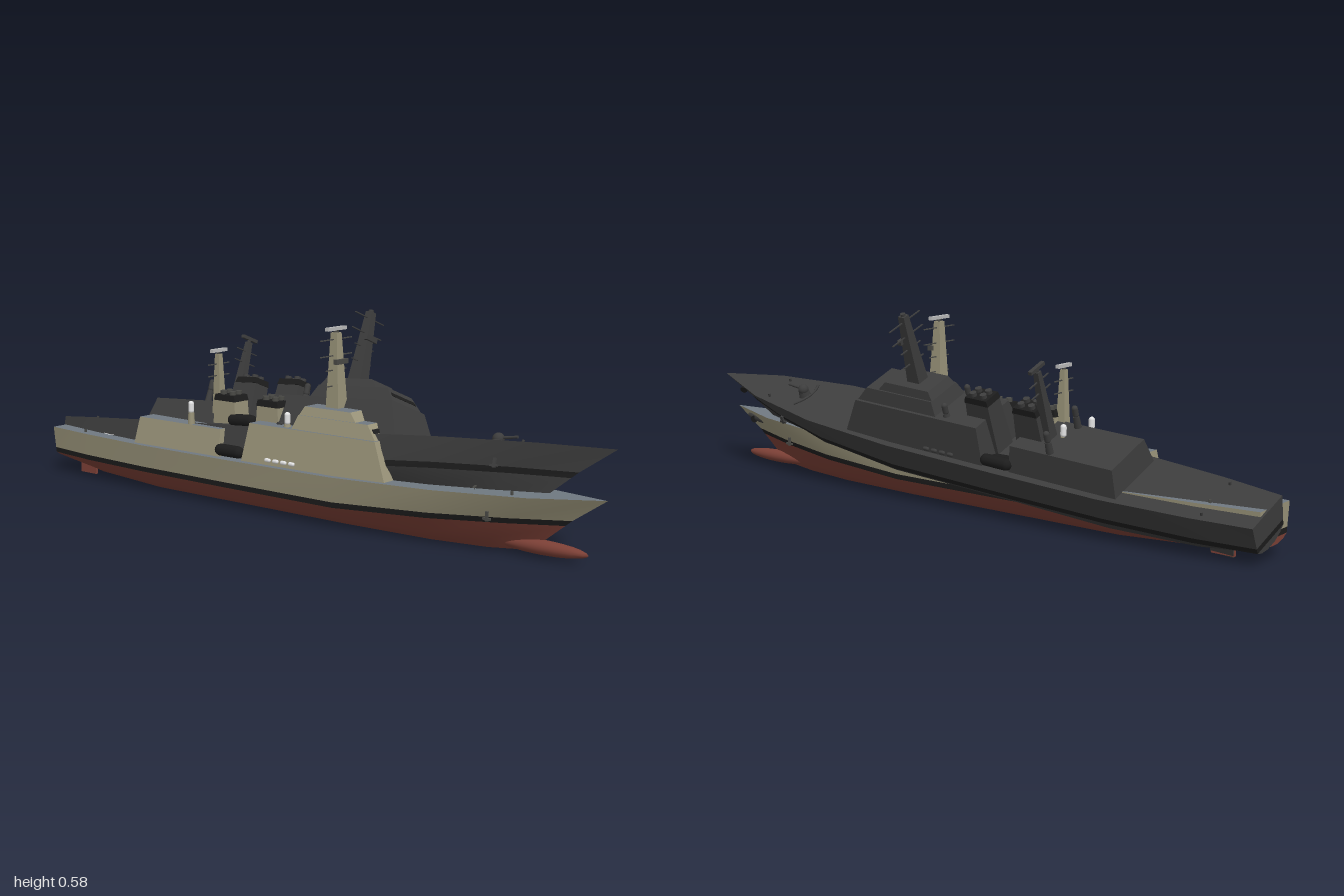
import * as THREE from 'three';

const paint = (name, hex) => {
  const m = new THREE.MeshStandardMaterial({ color: hex });
  m.name = name;
  return m;
};

function add(parent, name, geometry, material, x = 0, y = 0, z = 0) {
  const mesh = new THREE.Mesh(geometry, material);
  mesh.name = name;
  mesh.position.set(x, y, z);
  parent.add(mesh);
  return mesh;
}

// Surface through rows of points; every row has the same number of points
function loft(rows, flip = false) {
  const n = rows[0].length, index = [];
  for (let i = 0; i < rows.length - 1; i++) {
    for (let j = 0; j < n - 1; j++) {
      const a = i * n + j, b = a + 1, d = a + n, c = d + 1;
      index.push(...(flip ? [a, c, b, a, d, c] : [a, b, c, a, c, d]));
    }
  }
  const g = new THREE.BufferGeometry();
  g.setAttribute('position', new THREE.Float32BufferAttribute(rows.flat(2), 3));
  g.setIndex(index);
  g.computeVertexNormals();
  return g;
}

// Box with its own half width, back and front at the bottom and at the top
function frustum(y0, y1, [w0, b0, f0], [w1, b1, f1]) {
  const g = new THREE.BoxGeometry(2, 2, 2), p = g.attributes.position;
  for (let i = 0; i < p.count; i++) {
    const top = p.getY(i) > 0, front = p.getZ(i) > 0;
    p.setXYZ(i, p.getX(i) * (top ? w1 : w0), top ? y1 : y0,
      front ? (top ? f1 : f0) : (top ? b1 : b0));
  }
  g.computeVertexNormals();
  return g;
}

// Stations: z, deck half width, waterline half width, flat half width, keel y, deck y
const STATIONS = [
  [-1, 0.08, 0.07, 0.02, 0.04, 0.145],
  [-0.82, 0.1, 0.093, 0.03, 0.012, 0.145],
  [-0.55, 0.119, 0.108, 0.04, 0, 0.145],
  [-0.2, 0.122, 0.112, 0.04, 0, 0.146],
  [0.2, 0.122, 0.112, 0.04, 0, 0.148],
  [0.53, 0.11, 0.09, 0.028, 0, 0.158],
  [0.8, 0.067, 0.046, 0.012, 0.004, 0.168],
  [1, 0, 0, 0, 0.015, 0.178],
];
const STEM = [0.78, 0.78, 0.82, 0.88, 0.9, 1]; // where each level meets the bow

function section([z, deck, wl, flat, keel, deckY], side) {
  const s = 0.06 + 0.035 * Math.max(0, (z - 0.2) / 0.8);
  const levels = [
    [0, keel], [flat, keel], [flat * 0.4 + wl * 0.6, keel + (s - keel) * 0.4],
    [wl, s], [wl + (deck - wl) * 0.2, s + 0.016], [deck, deckY],
  ];
  return levels.map(([x, y], i) =>
    [x * side, y, z > 0.4 ? 0.4 + (z - 0.4) * (STEM[i] - 0.4) / 0.6 : z]);
}

function makeHull(m) {
  const hull = new THREE.Group();
  hull.name = 'hull';
  const bands = [['underwaterHull', 0, 4, m.bottom], ['waterlineStripe', 3, 5, m.stripe], ['topsides', 4, 6, m.side]];
  for (const [name, from, to, mat] of bands) {
    for (const side of [1, -1]) {
      add(hull, name, loft(STATIONS.map(s => section(s, side).slice(from, to)), side < 0), mat);
    }
    add(hull, name + 'Transom',
      loft([-1, 1].map(side => section(STATIONS[0], side).slice(from, to))), mat);
  }
  add(hull, 'mainDeck', loft(STATIONS.map(s => [section(s, 1)[5], section(s, -1)[5]])), m.deck);

  // Bulb under the bow and twin rudders
  add(hull, 'bowBulb', new THREE.SphereGeometry(1, 16, 12), m.bottom, 0, 0.028, 0.81).scale.set(0.022, 0.02, 0.14);
  for (const x of [-0.04, 0.04]) {
    add(hull, 'rudder', new THREE.BoxGeometry(0.008, 0.035, 0.07), m.bottom, x, 0.02, -0.875);
  }

  // Anchors and hawse plate
  const plate = add(hull, 'hawsePlate', new THREE.CylinderGeometry(0.012, 0.012, 0.006, 8), m.stripe, 0.023, 0.145, 0.905);
  plate.rotation.set(0, 0.35, -Math.PI / 2 - 0.2);
  for (const side of [-1, 1]) {
    add(hull, 'anchorShank', new THREE.BoxGeometry(0.006, 0.026, 0.008), m.fitting, side * 0.075, 0.105, 0.69);
    add(hull, 'anchorFluke', new THREE.BoxGeometry(0.006, 0.006, 0.024), m.fitting, side * 0.075, 0.098, 0.69);
  }
  return hull;
}

function makeMast(m, name, z, base, top, w0, w1, yards, topBar) {
  const mast = new THREE.Group();
  mast.name = name;
  mast.position.z = z;
  add(mast, 'tower', frustum(base, top, [w0, -w0, w0 * 1.2], [w1, -w1, w1]), m.side);
  for (const [y, half] of yards) {
    add(mast, 'yard', new THREE.BoxGeometry(half * 2, 0.003, 0.004), m.fitting, 0, y, 0);
  }
  add(mast, 'mastHead', new THREE.CylinderGeometry(w1 * 0.7, w1 * 0.7, 0.008, 10), m.fitting, 0, top + 0.003, 0);
  if (topBar) add(mast, 'radarBar', new THREE.BoxGeometry(topBar * 2, 0.01, 0.012), m.radar, 0, top + 0.011, 0);
  return mast;
}

function makeShip(name, m, hasRadar) {
  const ship = new THREE.Group();
  ship.name = name;
  ship.add(makeHull(m));

  // Deckhouses: walls with a deck coloured roof
  const roofed = [m.side, m.side, m.deck, m.side, m.side, m.side];
  const house = (n, ...a) => add(ship, n, frustum(...a), roofed);
  house('forwardDeckhouse', 0.14, 0.257, [0.103, -0.15, 0.38], [0.08, -0.135, 0.325]);
  house('bridge', 0.257, 0.297, [0.072, 0.02, 0.32], [0.06, 0.035, 0.285]);
  house('mastDeck', 0.297, 0.322, [0.056, 0.035, 0.24], [0.048, 0.05, 0.215]);
  house('aftDeckhouse', 0.14, 0.225, [0.1, -0.6, -0.24], [0.082, -0.59, -0.25]);
  add(ship, 'bridgeWindows', frustum(0.274, 0.284, [0.058, 0.29, 0.308], [0.056, 0.28, 0.299]), m.stripe);

  // Funnels with dark caps and exhaust pipes
  for (const z of [-0.11, -0.28]) {
    add(ship, 'funnel', frustum(0.14, 0.3, [0.036, z - 0.05, z + 0.05], [0.029, z - 0.04, z + 0.04]), m.side);
    add(ship, 'funnelCap', frustum(0.3, 0.318, [0.031, z - 0.042, z + 0.042], [0.029, z - 0.038, z + 0.038]), m.stripe);
    for (const dx of [-0.013, 0.013]) for (const dz of [-0.018, 0.018]) {
      add(ship, 'exhaustPipe', new THREE.CylinderGeometry(0.01, 0.01, 0.014, 12), m.fitting, dx, 0.322, z + dz);
    }
  }

  // Masts
  ship.add(makeMast(m, 'mainMast', 0.125, 0.32, 0.535, 0.021, 0.011,
    [[0.516, 0.07], [0.47, 0.07], [0.429, 0.045], [0.384, 0.045]], hasRadar ? 0.042 : 0));
  add(ship, 'mastSensor', new THREE.BoxGeometry(0.05, 0.014, 0.014), m.fitting, 0, 0.454, 0.142);
  ship.add(makeMast(m, 'aftMast', -0.33, 0.22, 0.435, 0.016, 0.008,
    [[0.405, 0.045], [0.37, 0.045]], 0.032));

  for (const side of [-1, 1]) {
    // Domes on pedestals
    for (const [x, y, z] of [[0.07, 0.225, -0.38], [0.055, 0.257, -0.01]]) {
      const high = z < -0.1 ? 0.035 : 0.008;
      add(ship, 'domePedestal', new THREE.CylinderGeometry(0.009, 0.011, high, 10), m.side, side * x, y + high / 2, z);
      add(ship, 'dome', new THREE.CapsuleGeometry(0.009, 0.02, 5, 12), m.white, side * x, y + high + 0.016, z);
    }
    // Boats between the deckhouses
    const boat = add(ship, 'boat', new THREE.CapsuleGeometry(0.018, 0.07, 4, 10), m.stripe, side * 0.096, 0.168, -0.2);
    boat.rotation.x = Math.PI / 2;
    // Raft canisters along the deck edge
    for (let i = 0; i < 4; i++) {
      const raft = add(ship, 'raftCanister', new THREE.CapsuleGeometry(0.006, 0.01, 4, 8), m.white, side * 0.108, 0.163, -0.04 + i * 0.03);
      raft.rotation.x = Math.PI / 2;
    }
    // Bollards fore and aft
    for (const [x, y, z] of [[0.05, 0.17, 0.75], [0.075, 0.148, -0.85]]) {
      add(ship, 'bollard', new THREE.CylinderGeometry(0.004, 0.004, 0.012, 8), m.fitting, side * x, y, z);
    }
  }

  // Bow gun
  add(ship, 'gunBase', new THREE.CylinderGeometry(0.016, 0.02, 0.02, 12), m.fitting, 0, 0.17, 0.64);
  add(ship, 'gunHouse', new THREE.SphereGeometry(0.017, 12, 8), m.fitting, 0, 0.185, 0.64);
  add(ship, 'gunBarrel', new THREE.CylinderGeometry(0.004, 0.004, 0.06, 8), m.fitting, 0, 0.19, 0.67).rotation.x = Math.PI / 2 - 0.1;
  const bar = new THREE.QuadraticBezierCurve3(new THREE.Vector3(-0.06, 0, 0.015),
    new THREE.Vector3(0, 0, -0.02), new THREE.Vector3(0.06, 0, 0.015));
  add(ship, 'breakwater', new THREE.TubeGeometry(bar, 10, 0.004, 6), m.fitting, 0, 0.167, 0.62);

  // Landing circle on the aft deck
  const circle = add(ship, 'landingCircle', new THREE.RingGeometry(0.06, 0.067, 40), m.white, 0, 0.147, -0.75);
  circle.rotation.x = -Math.PI / 2;
  return ship;
}

export function createModel() {
  const black = paint('black', 0x1d1d1d), dark = paint('charcoal', 0x3d3d3d);
  const white = paint('white', 0xe4e4e4);
  const painted = {
    side: paint('beige', 0x999379), bottom: paint('hullRed', 0x7c4036), deck: paint('deckGrey', 0x707981),
    stripe: black, fitting: paint('fittingGrey', 0x4a4a46), radar: paint('lightGrey', 0xbcbcbc), white,
  };
  const charred = { side: dark, bottom: dark, deck: dark, stripe: black, fitting: dark, radar: dark, white: dark };

  const model = new THREE.Group();
  model.name = 'ships';
  const upright = makeShip('uprightShip', painted, true);
  upright.position.x = -0.07;
  // Dark twin, rolled to its left with the bow lifted
  const listing = makeShip('listingShip', charred, false);
  listing.getObjectByName('landingCircle').visible = false;
  listing.position.set(-0.07, 0.07, 0);
  listing.rotation.set(-0.063, 0, -0.384);
  model.add(upright, listing);
  return model;
}
